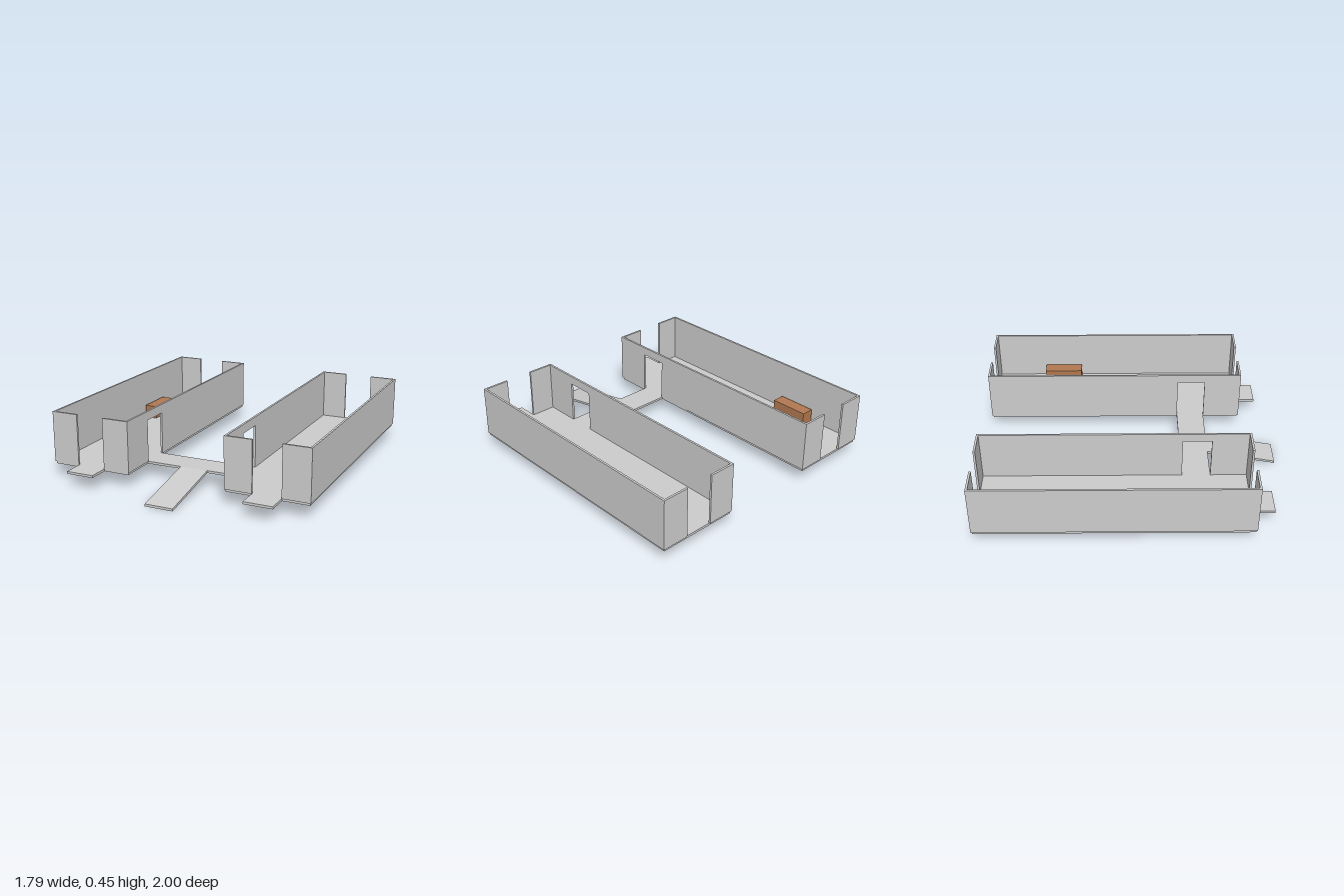
import * as THREE from 'three';

const grey = new THREE.MeshStandardMaterial({ color: 0xcccccc });
const brown = new THREE.MeshStandardMaterial({ color: 0xb07850 });

const FLOOR_BOTTOM = 0.09, FLOOR_TOP = 0.106, WALL_TOP = 0.447;
const INNER = 0.334, OUTER = 0.894, BACK = -1, FRONT = 0.785, T = 0.014;
const GAP_IN = 0.518, GAP_OUT = 0.71;      // end openings of each hall
const DOOR_BACK = 0.34, DOOR_FRONT = 0.53, DOOR_TOP = 0.388;

function add(parent, name, geometry, material = grey) {
  const mesh = new THREE.Mesh(geometry, material);
  mesh.name = name;
  parent.add(mesh);
  return mesh;
}

// Box given by its lower and upper corners
function block(parent, name, [x0, y0, z0], [x1, y1, z1], material) {
  const g = new THREE.BoxGeometry(x1 - x0, y1 - y0, z1 - z0);
  g.translate((x0 + x1) / 2, (y0 + y1) / 2, (z0 + z1) / 2);
  return add(parent, name, g, material);
}

// Outline of [z, y] points extruded along x from x0 to x1
function sidePlate(parent, name, points, x0, x1) {
  const shape = new THREE.Shape(points.map(([z, y]) => new THREE.Vector2(-z, y)));
  const g = new THREE.ExtrudeGeometry(shape, { depth: x1 - x0, bevelEnabled: false });
  g.rotateY(Math.PI / 2).translate(x0, 0, 0);
  return add(parent, name, g);
}

// One hall on the side given by s (+1 or -1)
function makeHall(s) {
  const hall = new THREE.Group();
  hall.name = s > 0 ? 'leftHall' : 'rightHall';
  const box = (name, xa, xb, y0, y1, z0, z1, m) =>
    block(hall, name, [Math.min(s * xa, s * xb), y0, z0], [Math.max(s * xa, s * xb), y1, z1], m);

  box('outerWall', OUTER - T, OUTER, FLOOR_TOP, WALL_TOP, BACK, FRONT);

  // Inner wall with a doorway notch down to the floor
  sidePlate(hall, 'innerWall', [
    [BACK, FLOOR_TOP], [DOOR_BACK, FLOOR_TOP], [DOOR_BACK, DOOR_TOP], [DOOR_FRONT, DOOR_TOP],
    [DOOR_FRONT, FLOOR_TOP], [FRONT, FLOOR_TOP], [FRONT, WALL_TOP], [BACK, WALL_TOP],
  ], s > 0 ? INNER : -INNER - T, s > 0 ? INNER + T : -INNER);

  // End walls, two panels on either side of each opening
  for (const [end, z] of [['front', FRONT - T], ['back', BACK]]) {
    box(end + 'WallInner', INNER + T, GAP_IN, FLOOR_TOP, WALL_TOP, z, z + T);
    box(end + 'WallOuter', GAP_OUT, OUTER - T, FLOOR_TOP, WALL_TOP, z, z + T);
  }

  box('bench', 0.78, 0.87, FLOOR_TOP, FLOOR_TOP + 0.092, -0.635, -0.365, brown);
  return hall;
}

export function createModel() {
  const model = new THREE.Group();
  model.name = 'twinHalls';

  // Continuous floor: two halls with entrance tongues, joined by a bridge
  const e = T / 2, a = INNER + e, b = OUTER - e, f = FRONT - e, r = BACK + e;
  const half = [
    [0, DOOR_FRONT], [a, DOOR_FRONT], [a, f], [GAP_IN, f], [GAP_IN, 0.92], [GAP_OUT, 0.92],
    [GAP_OUT, f], [b, f], [b, r], [a, r], [a, DOOR_BACK], [0, DOOR_BACK],
  ];
  const mirrored = half.slice(1, -1).reverse().map(([x, z]) => [-x, z]);
  const outline = [...half, ...mirrored].map(([x, z]) => new THREE.Vector2(x, -z));
  const floor = new THREE.ExtrudeGeometry(new THREE.Shape(outline),
    { depth: FLOOR_TOP - FLOOR_BOTTOM, bevelEnabled: false });
  floor.rotateX(-Math.PI / 2).translate(0, FLOOR_BOTTOM, 0);
  add(model, 'floor', floor);

  // Ramp from the bridge down to the ground
  sidePlate(model, 'ramp',
    [[DOOR_FRONT, FLOOR_BOTTOM], [1, 0], [1, 0.016], [DOOR_FRONT, FLOOR_TOP]], -0.096, 0.096);

  model.add(makeHall(1), makeHall(-1));
  return model;
}
